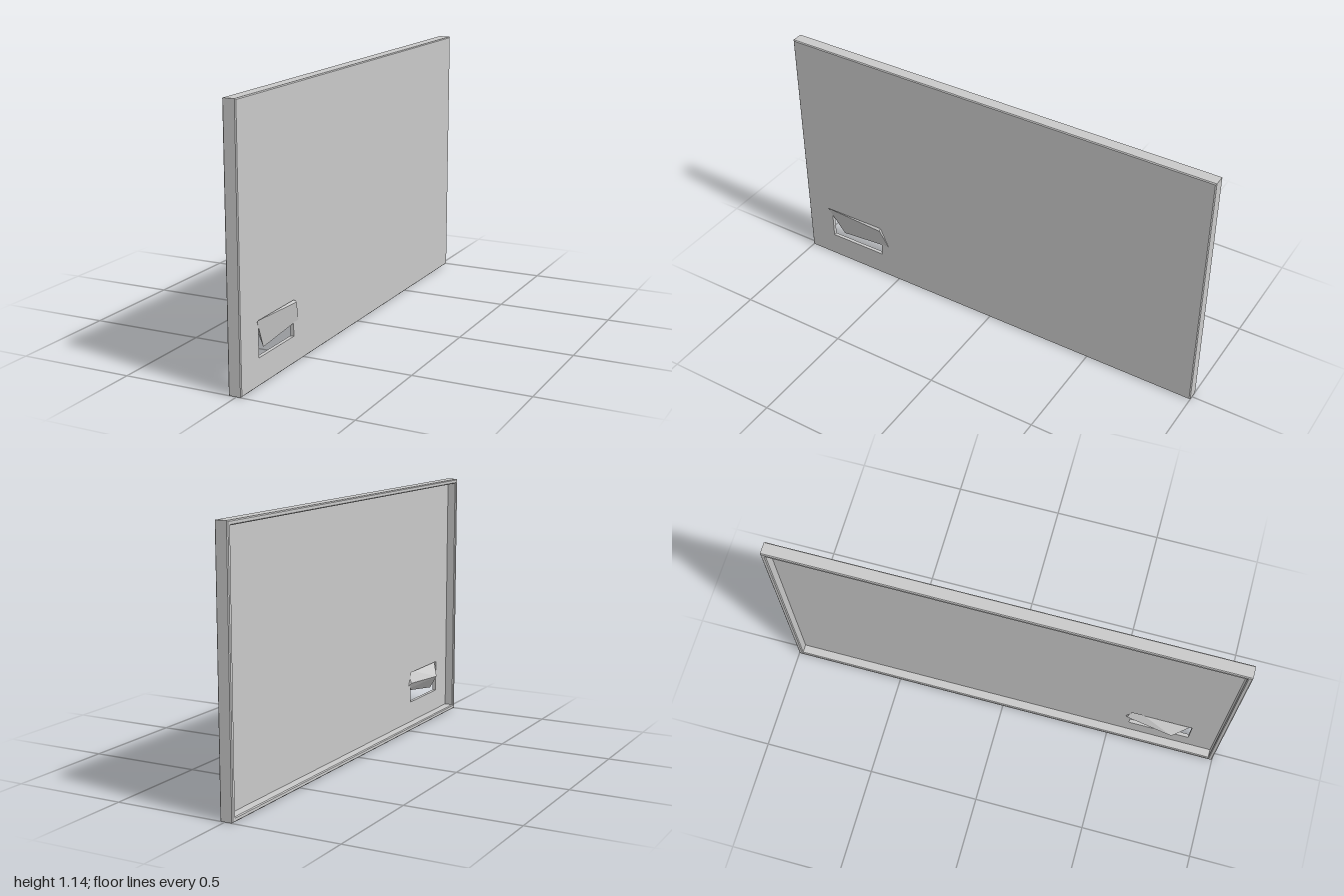
import * as THREE from 'three';
import { ConvexGeometry } from 'three/addons/geometries/ConvexGeometry.js';

const HEIGHT = 1.14, OUTER_X = 0.022, INNER_X = -0.035, RIM = 0.02;

// Rectangle in the (z, y) plane
function rect(target, z0, z1, y0, y1) {
  target.moveTo(z0, y0);
  target.lineTo(z1, y0);
  target.lineTo(z1, y1);
  target.lineTo(z0, y1);
  target.closePath();
  return target;
}

// Plate with a rectangular opening, running from x0 back to x1
function plate(name, outer, hole, x0, x1, bevel, material) {
  const shape = rect(new THREE.Shape(), ...outer);
  shape.holes.push(rect(new THREE.Path(), ...hole));
  const geometry = new THREE.ExtrudeGeometry(shape, {
    depth: x0 - x1 - 2 * bevel,
    bevelEnabled: bevel > 0,
    bevelSize: bevel,
    bevelThickness: bevel,
    bevelOffset: -bevel,
    bevelSegments: 1,
  });
  geometry.rotateY(-Math.PI / 2);
  geometry.translate(x0 - bevel, 0, 0);
  const mesh = new THREE.Mesh(geometry, material);
  mesh.name = name;
  return mesh;
}

export function createModel() {
  const group = new THREE.Group();
  group.name = 'framedPanel';
  const grey = new THREE.MeshStandardMaterial({ color: 0xcacaca });
  grey.name = 'plain grey';

  // Bevelled rim round the recessed inner side
  group.add(plate('rim', [-1, 1, 0, HEIGHT], [-1 + RIM, 1 - RIM, RIM, HEIGHT - RIM],
    OUTER_X, INNER_X, 0.004, grey));

  // Thin flat panel with a slot, flush with the outer side
  group.add(plate('panel', [-0.996, 0.996, 0.004, HEIGHT - 0.004], [0.588, 0.865, 0.115, 0.258],
    OUTER_X, 0.006, 0, grey));

  // Tilted wedge flap poking through the slot
  const corners = [
    [0.035, 0.26, 0.585], [0.026, 0.27, 0.59], [0.028, 0.27, 0.885],
    [0.0228, 0.175, 0.55], [0.01, 0.14, 0.81],
    [-0.036, 0.205, 0.785], [-0.004, 0.21, 0.575],
  ].map((p) => new THREE.Vector3(...p));
  const flap = new THREE.Mesh(new ConvexGeometry(corners), grey);
  flap.name = 'flap';
  group.add(flap);

  return group;
}
